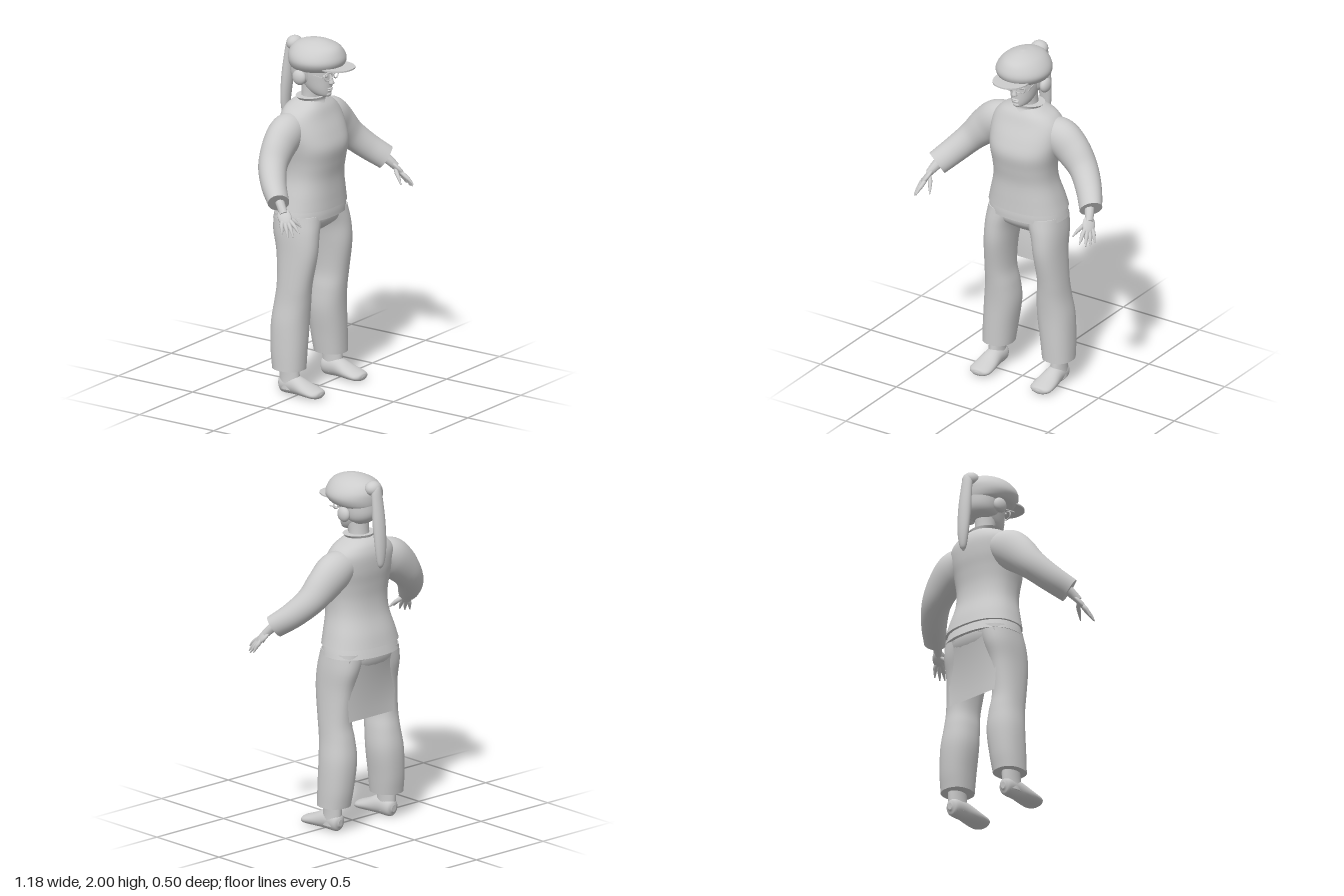
import * as THREE from 'three';

const grey = new THREE.MeshStandardMaterial({ color: 0xcccccc, side: THREE.DoubleSide });
grey.name = 'plain grey';

const V = (x, y, z) => new THREE.Vector3(x, y, z);
const Y = V(0, 1, 0), Z = V(0, 0, 1);

// Smooth skin over sections [x, y, z, halfWidth, halfDepth]; rings are level unless ref is given
function loft(sections, { ref = null, n = 28, sub = 5, square = 1 } = {}) {
  const mid = new THREE.CatmullRomCurve3(sections.map(s => V(s[0], s[1], s[2])), false, 'catmullrom', 0.5);
  const size = new THREE.CatmullRomCurve3(sections.map(s => V(s[3], s[4], 0)), false, 'catmullrom', 0.5);
  const rows = (sections.length - 1) * sub, pos = [], idx = [];
  const bend = v => Math.sign(v) * Math.abs(v) ** square;
  for (let r = 0; r <= rows; r++) {
    const c = mid.getPoint(r / rows), s = size.getPoint(r / rows);
    let u = V(1, 0, 0), v = V(0, 0, 1);
    if (ref) {
      const t = mid.getTangent(r / rows);
      u = t.clone().cross(ref).normalize();
      v = u.clone().cross(t);
    }
    for (let i = 0; i < n; i++) {
      const a = (i / n) * Math.PI * 2;
      const p = c.clone().addScaledVector(u, bend(Math.cos(a)) * s.x).addScaledVector(v, bend(Math.sin(a)) * s.y);
      pos.push(p.x, p.y, p.z);
      if (r < rows) {
        const j = (i + 1) % n, k = r * n;
        idx.push(k + i, k + n + i, k + j, k + j, k + n + i, k + n + j);
      }
    }
  }
  // End caps on their own vertices, so that the rims stay sharp
  for (const row of [0, rows]) {
    const start = pos.length / 3, c = mid.getPoint(row / rows);
    pos.push(...pos.slice(row * n * 3, (row + 1) * n * 3), c.x, c.y, c.z);
    for (let i = 0; i < n; i++) {
      const j = (i + 1) % n;
      if (row) idx.push(start + j, start + i, start + n);
      else idx.push(start + i, start + j, start + n);
    }
  }
  const g = new THREE.BufferGeometry();
  g.setAttribute('position', new THREE.Float32BufferAttribute(pos, 3));
  g.setIndex(idx);
  g.computeVertexNormals();
  return g;
}

// Level sections given as [y, halfWidth, zFront, zBack, xCentre]
const stack = (list, opts) =>
  loft(list.map(([y, w, f, b, x = 0]) => [x, y, (f + b) / 2, w, (f - b) / 2]), opts);

function add(parent, name, geometry) {
  const m = new THREE.Mesh(geometry, grey);
  m.name = name;
  parent.add(m);
  return m;
}

function ball(parent, name, x, y, z, rx, ry, rz) {
  return add(parent, name, new THREE.SphereGeometry(1, 24, 16).scale(rx, ry, rz).translate(x, y, z));
}

function buildHand(parent, s) {
  const hand = new THREE.Group();
  hand.name = 'hand';
  parent.add(hand);
  const tube = (name, pts) => add(hand, name, loft(pts.map(p => [p[0] * s, ...p.slice(1)]), { ref: Z, n: 10, sub: 4 }));
  tube('wrist', [[0.485, 1.225, 0.065, 0.03, 0.028], [0.51, 1.185, 0.105, 0.027, 0.025], [0.53, 1.15, 0.135, 0.02, 0.025]]);
  // Flattened palm lying across the knuckles
  const along = V(0.04 * s, -0.09, 0.08).normalize();
  const across = V(0.045 * s, -0.01, -0.085);
  across.addScaledVector(along, -across.dot(along)).normalize();
  const palm = add(hand, 'palm', new THREE.SphereGeometry(1, 18, 12).scale(0.038, 0.055, 0.016));
  palm.quaternion.setFromRotationMatrix(new THREE.Matrix4().makeBasis(across, along, across.clone().cross(along)));
  palm.position.set(0.533 * s, 1.135, 0.145);
  // Knuckle and tip of each finger
  const fingers = [
    [[0.53, 1.107, 0.195], [0.54, 1.06, 0.247]],
    [[0.543, 1.1, 0.182], [0.565, 1.043, 0.225]],
    [[0.554, 1.098, 0.166], [0.58, 1.038, 0.2]],
    [[0.562, 1.102, 0.147], [0.587, 1.047, 0.166]],
    [[0.503, 1.125, 0.16], [0.47, 1.072, 0.213]],
  ];
  fingers.forEach(([k, t], i) => {
    const w = 0.5, m = k.map((v, j) => v * (1 - w) + t[j] * w + (j === 1 ? 0.004 : 0));
    tube(i === 4 ? 'thumb' : 'finger', [
      [0.525, 1.145, 0.14, 0.011, 0.011], [...k, 0.012, 0.012], [...m, 0.01, 0.01], [...t, 0.003, 0.003],
    ]);
  });
}

function buildLimbs(parent, s) {
  // Sleeve
  add(parent, 'sleeve', loft([
    [0.1, 1.53, -0.075, 0.07, 0.08], [0.2, 1.495, -0.078, 0.108, 0.095], [0.285, 1.43, -0.075, 0.103, 0.088],
    [0.365, 1.35, -0.055, 0.083, 0.08], [0.44, 1.27, 0.005, 0.075, 0.07], [0.507, 1.2, 0.085, 0.07, 0.058],
  ].map(p => [p[0] * s, ...p.slice(1)]), { ref: Z }));
  buildHand(parent, s);

  // Trouser leg
  add(parent, 'trouserLeg', stack([
    [0.143, 0.088, 0.03, -0.157, 0.197 * s], [0.25, 0.094, 0.032, -0.172, 0.189 * s],
    [0.4, 0.1, 0.035, -0.178, 0.175 * s], [0.52, 0.089, 0.045, -0.163, 0.17 * s],
    [0.63, 0.078, 0.06, -0.148, 0.173 * s], [0.8, 0.079, 0.09, -0.16, 0.162 * s],
    [0.92, 0.088, 0.09, -0.19, 0.148 * s], [1.02, 0.11, 0.08, -0.2, 0.115 * s],
  ], { square: 0.9 }));

  // Ankle and foot
  add(parent, 'ankle', stack([
    [0.03, 0.046, 0.01, -0.115, 0.203 * s], [0.1, 0.042, 0.005, -0.12, 0.203 * s], [0.22, 0.045, -0.005, -0.12, 0.203 * s],
  ]));
  add(parent, 'foot', loft([
    [0.2, 0.05, -0.122, 0.015, 0.02], [0.2, 0.052, -0.1, 0.042, 0.051], [0.2, 0.054, -0.02, 0.05, 0.054],
    [0.2, 0.038, 0.06, 0.064, 0.038], [0.2, 0.027, 0.12, 0.065, 0.027], [0.2, 0.023, 0.147, 0.045, 0.02],
    [0.2, 0.022, 0.156, 0.01, 0.006],
  ].map(p => [p[0] * s, ...p.slice(1)]), { ref: Y }));

  // Ear cup, spectacle rim and eye
  ball(parent, 'earCup', 0.115 * s, 1.795, -0.055, 0.027, 0.043, 0.043);
  const rim = add(parent, 'spectacleRim', new THREE.TorusGeometry(0.03, 0.004, 8, 28).scale(1, 0.75, 1));
  rim.position.set(0.037 * s, 1.803, 0.085);
  rim.rotation.y = 0.2 * s;
  const temple = add(parent, 'spectacleArm', new THREE.BoxGeometry(0.004, 0.006, 0.12));
  temple.position.set(0.08 * s, 1.808, 0.025);
  temple.rotation.y = 0.2 * s;
  ball(parent, 'eye', 0.035 * s, 1.803, 0.064, 0.018, 0.01, 0.012);
}

export function createModel() {
  const model = new THREE.Group();
  model.name = 'standingFigure';

  // Loose top, with an under-layer showing at the hem
  add(model, 'top', stack([
    [1.05, 0.23, 0.107, -0.23], [1.12, 0.212, 0.105, -0.212], [1.22, 0.187, 0.104, -0.18],
    [1.31, 0.186, 0.118, -0.17], [1.4, 0.2, 0.13, -0.178], [1.48, 0.212, 0.105, -0.19],
    [1.56, 0.208, 0.067, -0.192], [1.61, 0.17, 0.045, -0.178], [1.64, 0.115, 0.025, -0.155], [1.658, 0.075, 0.01, -0.125],
  ], { square: 0.86, n: 40 }));
  add(model, 'underLayerHem', stack([
    [0.995, 0.232, 0.1, -0.23], [1.03, 0.224, 0.1, -0.22], [1.08, 0.21, 0.095, -0.205],
  ], { square: 0.86, n: 40 }));
  add(model, 'collar', stack([
    [1.625, 0.088, 0.035, -0.135], [1.65, 0.083, 0.022, -0.13], [1.67, 0.1, 0.025, -0.135],
  ]));

  // Seat of the trousers and the flap hanging behind
  add(model, 'trouserSeat', stack([
    [0.9, 0.13, 0.0, -0.17], [0.95, 0.215, 0.065, -0.2], [1.0, 0.228, 0.082, -0.21], [1.05, 0.215, 0.08, -0.2],
  ], { square: 0.88 }));
  const flap = new THREE.PlaneGeometry(2, 1, 16, 8);
  const fp = flap.attributes.position;
  for (let i = 0; i < fp.count; i++) {
    const x = fp.getX(i), t = fp.getY(i) + 0.5;
    fp.setXYZ(i, x * (0.17 + 0.02 * t), 0.63 + 0.36 * t, -0.158 - 0.05 * t * t + 0.03 * t * x * x);
  }
  flap.computeVertexNormals();
  add(model, 'backFlap', flap);

  // Neck, head and face
  add(model, 'neck', stack([[1.6, 0.07, 0.0, -0.12], [1.67, 0.058, 0.005, -0.11], [1.76, 0.06, 0.02, -0.11]]));
  add(model, 'head', stack([
    [1.677, 0.018, 0.06, 0.01], [1.688, 0.042, 0.069, -0.04], [1.72, 0.062, 0.073, -0.085],
    [1.77, 0.076, 0.074, -0.125], [1.82, 0.085, 0.074, -0.15], [1.88, 0.085, 0.07, -0.15],
  ]));
  add(model, 'nose', loft([
    [0, 1.815, 0.066, 0.008, 0.01], [0, 1.78, 0.076, 0.01, 0.013], [0, 1.757, 0.081, 0.016, 0.015], [0, 1.747, 0.074, 0.007, 0.006],
  ].reverse(), { n: 14 }));
  ball(model, 'upperLip', 0, 1.725, 0.071, 0.024, 0.006, 0.01);
  ball(model, 'lowerLip', 0, 1.715, 0.07, 0.02, 0.006, 0.01);
  ball(model, 'chin', 0, 1.692, 0.061, 0.022, 0.014, 0.013);
  const bridge = add(model, 'spectacleBridge', new THREE.BoxGeometry(0.018, 0.005, 0.005));
  bridge.position.set(0, 1.807, 0.09);

  // Hair, bun and ponytail
  add(model, 'hair', stack([
    [1.735, 0.05, -0.05, -0.12], [1.76, 0.085, 0.0, -0.155], [1.8, 0.1, 0.02, -0.174], [1.87, 0.105, 0.03, -0.175],
  ]));
  ball(model, 'bun', 0, 1.945, -0.168, 0.05, 0.042, 0.045);
  add(model, 'ponytail', loft([
    [0, 1.5, -0.226, 0.006, 0.005], [0, 1.53, -0.229, 0.022, 0.018], [0, 1.62, -0.228, 0.036, 0.026],
    [0, 1.75, -0.216, 0.04, 0.031], [0, 1.87, -0.204, 0.036, 0.026], [0, 1.95, -0.19, 0.03, 0.025], [0, 1.975, -0.185, 0.01, 0.01],
  ]));

  // Puffy cap and its flat visor
  add(model, 'cap', stack([
    [1.828, 0.105, 0.085, -0.165], [1.848, 0.135, 0.128, -0.175], [1.885, 0.153, 0.15, -0.18], [1.925, 0.141, 0.143, -0.177],
    [1.965, 0.105, 0.115, -0.15], [1.99, 0.055, 0.055, -0.09], [2.0, 0.008, 0.0, -0.02],
  ], { n: 36 }));
  const visor = new THREE.Shape();
  visor.moveTo(-0.1, 0.04);
  visor.lineTo(-0.102, 0.12);
  visor.bezierCurveTo(-0.09, 0.18, -0.06, 0.216, 0, 0.216);
  visor.bezierCurveTo(0.06, 0.216, 0.09, 0.18, 0.102, 0.12);
  visor.lineTo(0.1, 0.04);
  add(model, 'visor', new THREE.ExtrudeGeometry(visor, { depth: 0.008, bevelEnabled: false, curveSegments: 16 })
    .rotateX(Math.PI / 2).translate(0, 1.862, 0));

  for (const side of [1, -1]) buildLimbs(model, side);
  return model;
}
